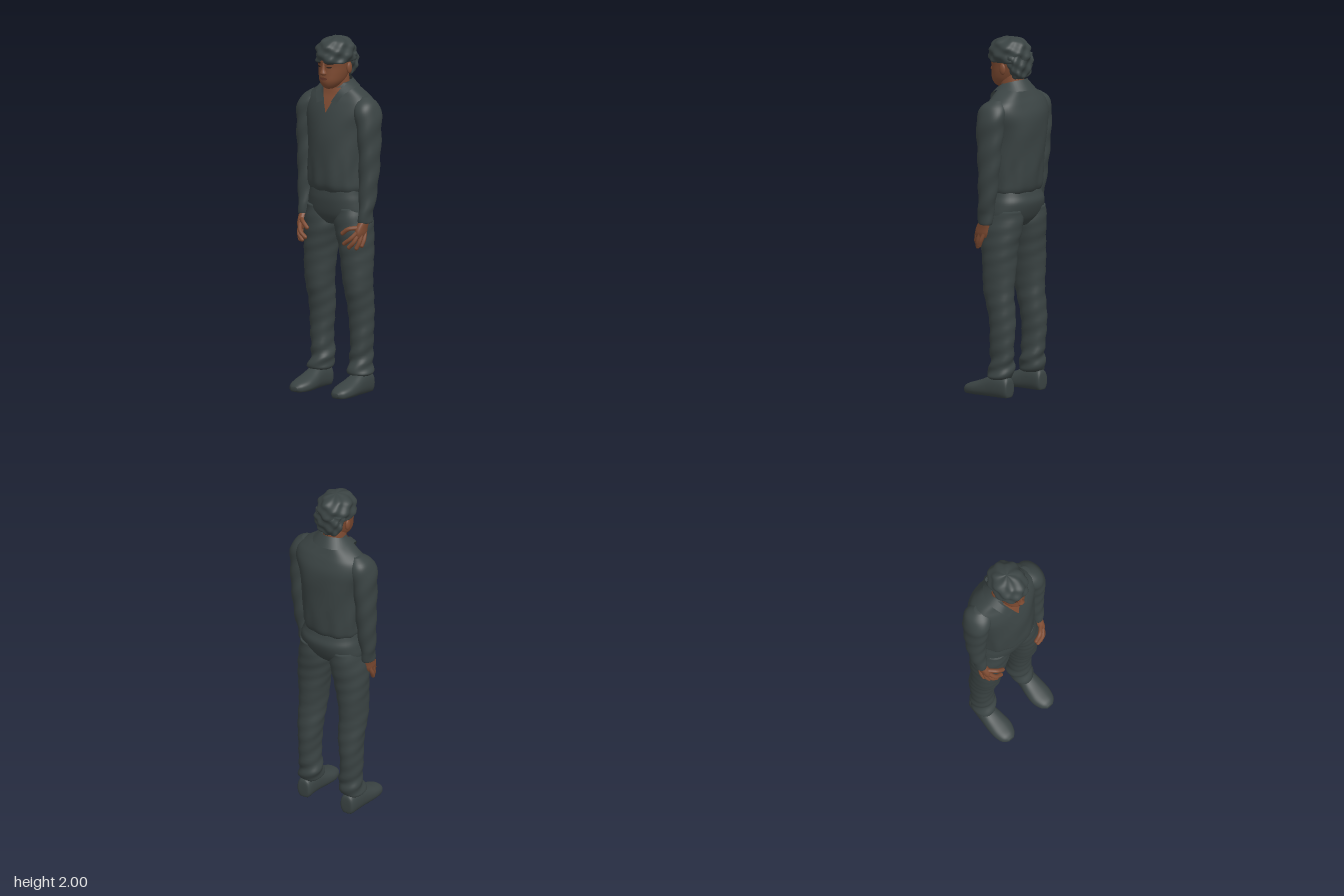
import * as THREE from 'three';

const mat = (name, color) => {
  const m = new THREE.MeshStandardMaterial({ color, side: THREE.DoubleSide });
  m.name = name;
  return m;
};

// smooth interpolation of section rows
function sampleRows(rows, steps) {
  const out = [], n = rows.length - 1;
  for (let k = 0; k <= n * steps; k++) {
    const i = Math.min(Math.floor(k / steps), n - 1), t = k / steps - i;
    const p = j => rows[Math.max(0, Math.min(n, j))];
    out.push(rows[0].map((_, c) => {
      const a = p(i - 1)[c], b = p(i)[c], d = p(i + 1)[c], e = p(i + 2)[c];
      return 0.5 * (2 * b + (d - a) * t + (2 * a - 5 * b + 4 * d - e) * t * t + (3 * b - a - 3 * d + e) * t * t * t);
    }));
  }
  return out;
}

// rows: [y, x0, x1, zFront, zBack]; bump(angle, y) adds folds
function loft(rows, { seg = 40, steps = 5, power = 2.3, bump = () => 0 } = {}) {
  const rings = sampleRows(rows, steps), pos = [], idx = [];
  const round = v => Math.sign(v) * Math.abs(v) ** (2 / power);
  for (const [y, x0, x1, zf, zb] of rings) {
    for (let j = 0; j < seg; j++) {
      const a = j / seg * Math.PI * 2, c = Math.cos(a), s = Math.sin(a), b = bump(a, y);
      pos.push((x0 + x1) / 2 + round(c) * (x1 - x0) / 2 + c * b, y, (zf + zb) / 2 + round(s) * (zf - zb) / 2 + s * b);
    }
  }
  const last = rings.length - 1, base = rings.length * seg;
  for (const r of [rings[0], rings[last]]) pos.push((r[1] + r[2]) / 2, r[0], (r[3] + r[4]) / 2);
  for (let j = 0; j < seg; j++) {
    const k = (j + 1) % seg;
    for (let i = 0; i < last; i++) {
      const a = i * seg + j, b = a + seg, c = i * seg + k, d = c + seg;
      idx.push(a, b, c, c, b, d);
    }
    idx.push(base, j, k, base + 1, last * seg + k, last * seg + j);
  }
  const g = new THREE.BufferGeometry();
  g.setAttribute('position', new THREE.Float32BufferAttribute(pos, 3));
  g.setIndex(idx);
  g.computeVertexNormals();
  return g;
}

const sym = rows => rows.map(([y, zf, zb, r]) => [y, -r, r, zf, zb]);
const sided = (rows, s) => s > 0 ? rows : rows.map(([y, a, b, f, k]) => [y, -b, -a, f, k]);

// lay a flat geometry on the front of a mesh
function drape(geo, target, offset) {
  const p = geo.attributes.position, ray = new THREE.Raycaster();
  for (let i = 0; i < p.count; i++) {
    ray.set(new THREE.Vector3(p.getX(i), p.getY(i), 1), new THREE.Vector3(0, 0, -1));
    const hit = ray.intersectObject(target)[0];
    p.setZ(i, (hit ? hit.point.z : 0) + offset);
  }
  geo.computeVertexNormals();
  return geo;
}

export function createModel() {
  const model = new THREE.Group();
  const cloth = mat('dark slate', 0x3a4343), skin = mat('brown skin', 0x7d4a31);
  const dark = mat('dark brown', 0x33231c), lip = mat('lip brown', 0x643628);
  const add = (name, geo, m, parent = model) => {
    const mesh = new THREE.Mesh(geo, m);
    mesh.name = name;
    parent.add(mesh);
    return mesh;
  };

  // shirt body
  const shirt = add('shirt', loft(sym([
    [1.13, .09, -.135, .155], [1.16, .113, -.16, .172], [1.22, .121, -.172, .174], [1.4, .118, -.183, .18],
    [1.5, .108, -.188, .193], [1.58, .09, -.182, .215], [1.64, .068, -.16, .21], [1.68, .05, -.138, .17],
    [1.72, .04, -.115, .11], [1.745, .03, -.095, .07]]), {
    seg: 64, power: 2.2,
    bump: (a, y) => .004 * Math.sin(a * 5 + y * 9) * Math.sin(y * 14) + (y < 1.3 ? .003 * Math.sin(a * 11) : 0)
  }), cloth);

  // open neckline
  const vee = new THREE.PlaneGeometry(2, .14, 8, 12).translate(0, 1.65, 0), vp = vee.attributes.position;
  for (let i = 0; i < vp.count; i++) vp.setX(i, vp.getX(i) * (vp.getY(i) - 1.58) * .43);
  add('openNeck', drape(vee, shirt, .005), skin);
  add('neck', loft(sym([[1.64, .03, -.09, .065], [1.72, .045, -.082, .062], [1.76, .05, -.08, .06], [1.82, .05, -.07, .055]])), skin);

  // folded collar
  const edge = pts => new THREE.CatmullRomCurve3(
    [...pts.slice(1).reverse().map(([x, y, z]) => [-x, y, z]), ...pts].map(p => new THREE.Vector3(...p))).getPoints(40);
  const collarTop = edge([[0, 1.772, -.1], [.06, 1.765, -.07], [.078, 1.745, -.01], [.062, 1.71, .05], [.028, 1.645, .083]]);
  const collarLow = edge([[0, 1.715, -.137], [.08, 1.715, -.112], [.118, 1.72, -.02], [.098, 1.69, .055], [.065, 1.63, .09]]);
  const collar = new THREE.PlaneGeometry(1, 1, 40, 1), cp = collar.attributes.position;
  [...collarTop, ...collarLow].forEach((p, i) => cp.setXYZ(i, p.x, p.y, p.z));
  collar.computeVertexNormals();
  add('collar', collar, cloth);

  // trouser seat
  add('trouserSeat', loft(sym([
    [.95, .05, -.1, .1], [1.0, .084, -.14, .185], [1.08, .1, -.168, .184], [1.13, .1, -.155, .17], [1.18, .095, -.14, .16]]), { seg: 48 }), cloth);

  for (const s of [1, -1]) {
    const side = new THREE.Group();
    side.name = s > 0 ? 'leftLimbs' : 'rightLimbs';
    model.add(side);

    add('trouserLeg', loft(sided([
      [.1, .095, .19, .02, -.1], [.115, .078, .205, .04, -.115], [.16, .068, .2, .022, -.12], [.2, .073, .195, .015, -.12],
      [.3, .08, .2, .015, -.125], [.4, .073, .202, .02, -.13], [.5, .065, .206, .036, -.125], [.6, .06, .21, .06, -.118],
      [.75, .043, .213, .074, -.125], [.85, .025, .213, .082, -.132], [.95, .003, .206, .088, -.145], [1.05, .02, .18, .08, -.15]], s), {
      power: 2.15,
      bump: (a, y) => (y < .25 ? .005 : .002) * Math.sin(y * 75 + a * 2) + .002 * Math.sin(a * 3 + y * 20)
    }), cloth);

    // shoe, lofted from heel to toe
    const shoe = loft(sided([
      [-.118, .12, .17, -.03, -.07], [-.108, .104, .186, .01, -.11], [-.05, .1, .195, .012, -.125], [0, .095, .2, .012, -.118],
      [.06, .085, .206, .012, -.09], [.12, .082, .207, .012, -.068], [.17, .1, .193, .01, -.05], [.194, .125, .165, -.008, -.03]], s));
    shoe.rotateX(Math.PI / 2);
    const sp = shoe.attributes.position;
    for (let i = 0; i < sp.count; i++) sp.setY(i, Math.max(0, sp.getY(i)));
    shoe.computeVertexNormals();
    add('shoe', shoe, cloth, side);

    add('sleeve', loft(sided([
      [.972, .19, .235, .04, -.025], [.98, .178, .243, .052, -.036], [1.03, .176, .248, .05, -.043], [1.08, .173, .256, .045, -.055],
      [1.2, .163, .266, .04, -.075], [1.35, .163, .27, .045, -.095], [1.48, .155, .27, .055, -.107], [1.58, .135, .268, .058, -.115],
      [1.64, .12, .243, .035, -.105], [1.675, .13, .19, -.01, -.075]], s), {
      power: 2.1, bump: (a, y) => .003 * Math.sin(y * 42 + a * 2)
    }), cloth, side);

    // hand with curled fingers
    add('palm', loft(sided([
      [.895, .19, .218, .075, .005], [.92, .183, .225, .08, -.008], [.95, .18, .228, .072, -.014], [1.0, .19, .235, .038, -.02]], s), { seg: 24 }), skin, side);
    const digits = {
      thumb: [[.195, .95, .06], [.16, .945, .093], [.125, .918, .102]],
      indexFinger: [[.2, .925, .07], [.175, .89, .097], [.138, .862, .102]],
      middleFinger: [[.205, .92, .06], [.192, .872, .087], [.165, .843, .094]],
      ringFinger: [[.212, .92, .04], [.21, .87, .06], [.198, .838, .07]],
      littleFinger: [[.213, .92, .012], [.219, .88, .03], [.215, .85, .045]]
    };
    for (const [name, pts] of Object.entries(digits)) {
      const path = new THREE.CatmullRomCurve3(pts.map(([x, y, z]) => new THREE.Vector3(x * s, y, z)));
      add(name, new THREE.TubeGeometry(path, 10, .012, 10), skin, side);
      add(name + 'Tip', new THREE.SphereGeometry(.012, 10, 8).translate(s * pts[2][0], pts[2][1], pts[2][2]), skin, side);
    }
  }

  // head
  const head = add('head', loft(sym([
    [1.715, .08, .02, .018], [1.73, .1, -.01, .04], [1.76, .113, -.045, .062], [1.8, .112, -.07, .074], [1.84, .111, -.085, .08],
    [1.88, .115, -.1, .084], [1.93, .1, -.1, .08], [1.97, .05, -.06, .05]]), { seg: 48, power: 2.2 }), skin);
  add('nose', loft(sym([
    [1.797, .12, .1, .012], [1.807, .133, .09, .02], [1.83, .126, .09, .011], [1.868, .115, .09, .008]]), { seg: 20 }), skin);
  const spot = (name, x, y, w, h, m, tilt = 0) =>
    add(name, drape(new THREE.CircleGeometry(1, 20).scale(w, h, 1).rotateZ(tilt).translate(x, y, 0), head, .004), m);
  spot('mouth', 0, 1.776, .026, .008, lip);
  for (const s of [1, -1]) {
    spot('eye', s * .034, 1.843, .014, .005, dark);
    spot('eyebrow', s * .036, 1.863, .022, .005, dark, -s * .1);
    add('ear', new THREE.SphereGeometry(1, 16, 12).scale(.012, .032, .02).translate(s * .084, 1.83, -.012), skin);
  }

  // wavy hair: crown and nape
  const waves = (a, y) => .005 * Math.sin(a * 7 + y * 60) + .004 * Math.sin(a * 4 - y * 95);
  add('hairCrown', loft(sym([
    [1.862, .112, -.1, .088], [1.872, .122, -.115, .098], [1.91, .122, -.119, .1], [1.95, .112, -.11, .093],
    [1.98, .085, -.085, .07], [1.995, .045, -.05, .038], [2.0, .01, -.015, .01]]), { seg: 72, steps: 6, power: 2.1, bump: waves }), cloth);
  add('hairNape', loft(sym([
    [1.775, -.06, -.09, .04], [1.79, -.045, -.105, .06], [1.83, -.035, -.114, .082], [1.88, -.02, -.116, .09], [1.91, -.02, -.11, .085]]), { seg: 56, bump: waves }), cloth);

  return model;
}
